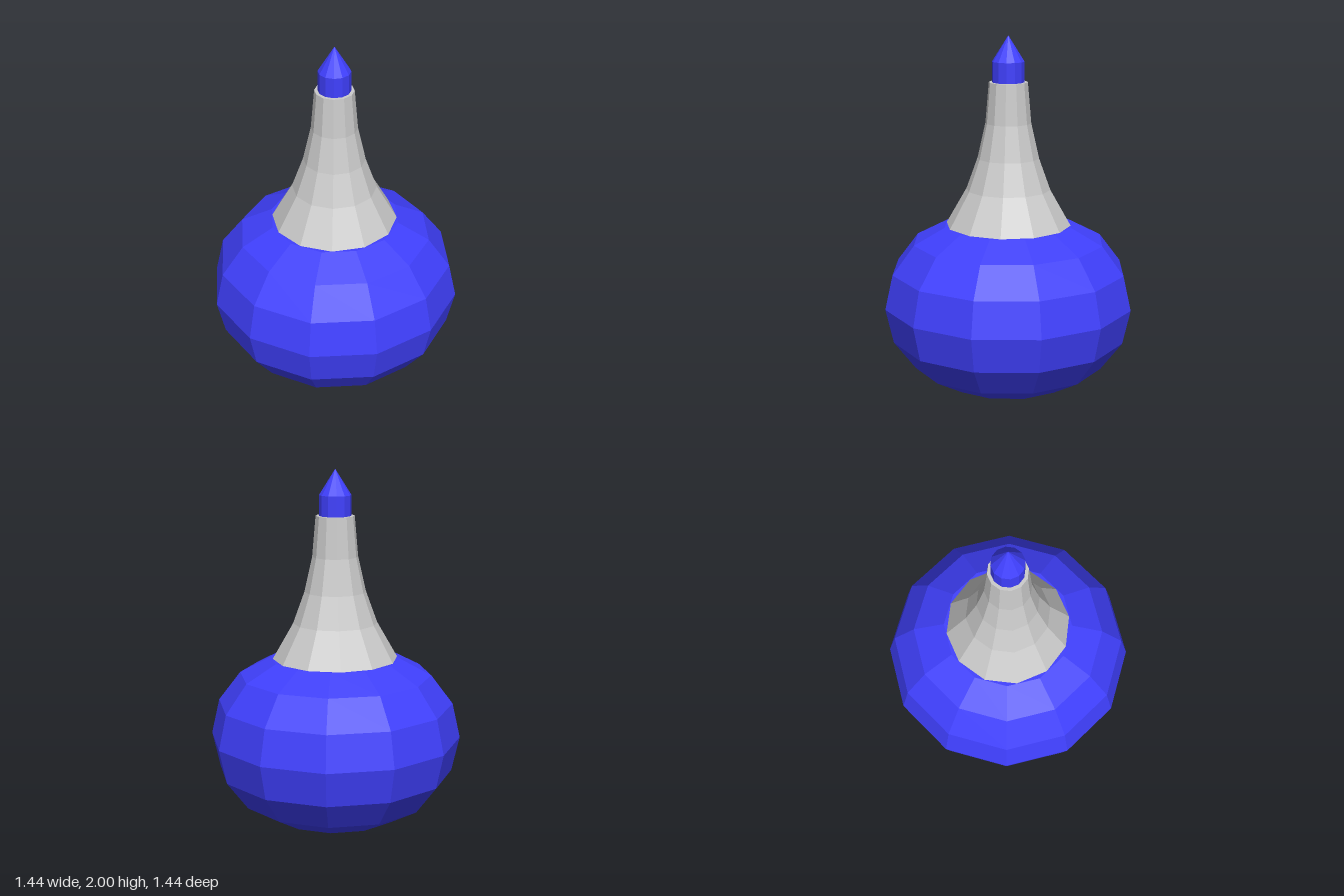
import * as THREE from 'three';

const SIDES = 12;
const TWIST = THREE.MathUtils.degToRad(9);

// Faceted solid turned from [radius, height] points listed bottom to top
function turned(name, profile, color, twist = 0) {
  const points = profile.map(([r, y]) => new THREE.Vector2(r, y));
  const geometry = new THREE.LatheGeometry(points, SIDES, twist);
  const material = new THREE.MeshStandardMaterial({ color, flatShading: true });
  const mesh = new THREE.Mesh(geometry, material);
  mesh.name = name;
  return mesh;
}

export function createModel() {
  const group = new THREE.Group();
  group.name = 'bottle';
  const blue = 0x4040ff;
  const grey = 0xcccccc;

  // Squashed round bulb with flat bottom and top
  group.add(turned('body', [
    [0, 0], [0.37, 0], [0.55, 0.1], [0.675, 0.265], [0.72, 0.465],
    [0.675, 0.665], [0.55, 0.83], [0.37, 0.925], [0, 0.925],
  ], blue));

  // Flared neck narrowing to a flat rim
  group.add(turned('neck', [
    [0.357, 0.925], [0.24, 1.13], [0.175, 1.31],
    [0.13, 1.51], [0.11, 1.74], [0, 1.74],
  ], grey, TWIST));

  // Pointed stopper in the neck
  group.add(turned('stopper', [
    [0.091, 1.7], [0.091, 1.855], [0, 2],
  ], blue, TWIST));

  return group;
}
